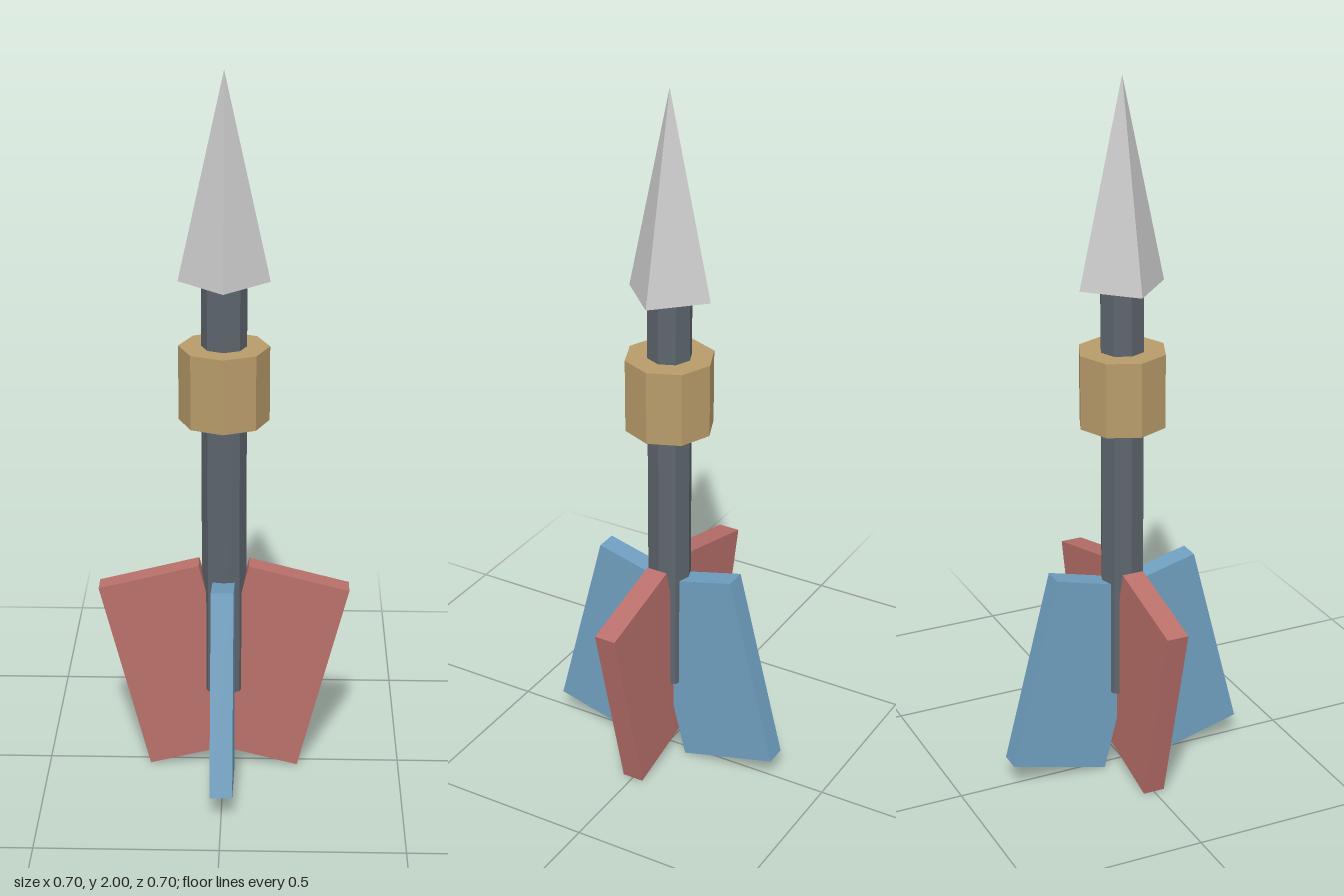
import * as THREE from 'three';

const material = (color) => new THREE.MeshStandardMaterial({ color, flatShading: true });

function addMesh(parent, name, geometry, mat, y) {
  const mesh = new THREE.Mesh(geometry, mat);
  mesh.name = name;
  mesh.position.y = y;
  parent.add(mesh);
  return mesh;
}

export function createModel() {
  const group = new THREE.Group();
  group.name = 'dart';

  const steel = material(0xcccccc);
  const dark = material(0x5c646c);
  const brass = material(0xb89b6a);
  const red = material(0xb9706a);
  const blue = material(0x6f9fc0);

  // Four-sided pointed head
  addMesh(group, 'head', new THREE.ConeGeometry(0.124, 0.565, 4), steel, 1.7175);

  // Octagonal shaft and collar
  addMesh(group, 'shaft', new THREE.CylinderGeometry(0.062, 0.062, 1.195, 8), dark, 0.8375);
  addMesh(group, 'collar', new THREE.CylinderGeometry(0.124, 0.124, 0.21, 8), brass, 1.15);

  // Two pairs of tilted fins: red flare outward at the top, blue at the bottom
  const finGeometry = new THREE.BoxGeometry(0.289, 0.567, 0.062);
  const tilt = 0.25;
  const fins = [
    ['leftFin', 0, red, -tilt],
    ['rightFin', Math.PI, red, -tilt],
    ['frontFin', -Math.PI / 2, blue, tilt],
    ['backFin', Math.PI / 2, blue, tilt],
  ];
  for (const [name, turn, mat, lean] of fins) {
    const pivot = new THREE.Group();
    pivot.name = name;
    pivot.rotation.y = turn;
    const fin = addMesh(pivot, name + 'Blade', finGeometry, mat, 0.3105);
    fin.position.x = 0.14;
    fin.rotation.z = lean;
    group.add(pivot);
  }

  return group;
}
